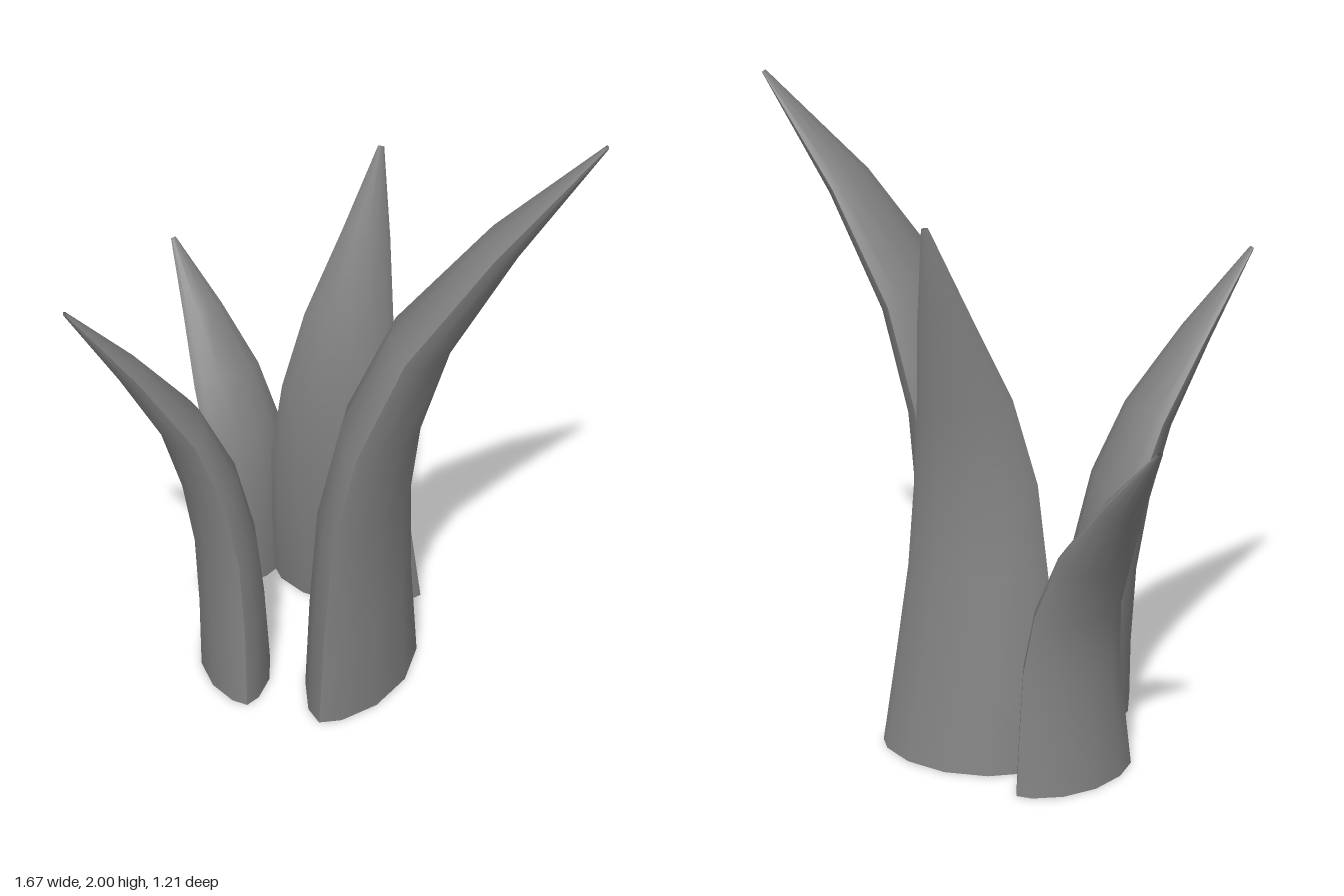
import * as THREE from 'three';

const ARC_STEPS = 6;      // segments along each bowed face
const THICKNESS = 0.49;   // half thickness as a share of half width

// Each ring: x, y, z of the centre, half width. Angles: heading of the section at base and tip.
const BLADES = [
  { name: 'tallBlade', angles: [75, 64], rings: [
    [0.234, 0, -0.137, 0.324], [0.236, 0.35, -0.12, 0.292], [0.252, 0.7, -0.108, 0.266],
    [0.3, 1.01, -0.125, 0.24], [0.4, 1.33, -0.18, 0.197], [0.595, 1.665, -0.28, 0.12], [0.828, 1.995, -0.418, 0.012]] },
  { name: 'frontBlade', angles: [38, 25], rings: [
    [-0.1, 0, 0.122, 0.237], [-0.118, 0.26, 0.117, 0.222], [-0.138, 0.51, 0.125, 0.205],
    [-0.165, 0.745, 0.166, 0.184], [-0.2, 0.97, 0.25, 0.144], [-0.25, 1.21, 0.408, 0.086], [-0.31, 1.463, 0.596, 0.012]] },
  { name: 'shortBlade', angles: [97, 100], rings: [
    [-0.437, 0, -0.3, 0.216], [-0.428, 0.2, -0.3, 0.195], [-0.426, 0.385, -0.3, 0.178],
    [-0.453, 0.56, -0.303, 0.158], [-0.53, 0.745, -0.308, 0.137], [-0.665, 0.94, -0.337, 0.08], [-0.83, 1.146, -0.37, 0.01]] },
  { name: 'backBlade', angles: [-25, -48], rings: [
    [-0.097, 0, -0.454, 0.265], [-0.095, 0.29, -0.408, 0.244], [-0.088, 0.58, -0.37, 0.22],
    [-0.068, 0.85, -0.358, 0.19], [-0.062, 1.11, -0.392, 0.145], [-0.064, 1.39, -0.47, 0.078], [-0.072, 1.668, -0.543, 0.01]] },
];

// A hollow curved blade: two bowed faces meeting at sharp side edges, open at the base
function makeBlade({ name, angles, rings }, material) {
  const positions = [], index = [];
  const centres = rings.map(([x, y, z]) => new THREE.Vector3(x, y, z));
  const row = ARC_STEPS + 1, last = rings.length - 1;

  // Section frame at ring i: chord across the blade, normal through its thickness
  const frame = (i) => {
    const tangent = i === 0 ? new THREE.Vector3(0, 1, 0)
      : centres[Math.min(i + 1, last)].clone().sub(centres[i - 1]).normalize();
    const a = THREE.MathUtils.degToRad(THREE.MathUtils.lerp(angles[0], angles[1], i / last));
    const chord = new THREE.Vector3(Math.cos(a), 0, Math.sin(a));
    chord.addScaledVector(tangent, -chord.dot(tangent)).normalize();
    return { chord, normal: tangent.clone().cross(chord) };
  };

  for (const side of [1, -1]) {
    const start = positions.length / 3;
    for (let i = 0; i <= last; i++) {
      const { chord, normal } = frame(i);
      const w = rings[i][3];
      for (let j = 0; j <= ARC_STEPS; j++) {
        const t = Math.PI * j / ARC_STEPS;
        const bow = Math.pow(Math.max(0, Math.sin(t)), 1.4);
        const p = centres[i].clone()
          .addScaledVector(chord, -w * Math.cos(t))
          .addScaledVector(normal, side * w * THICKNESS * bow);
        positions.push(p.x, p.y, p.z);
      }
    }
    for (let i = 0; i < last; i++) {
      for (let j = 0; j < ARC_STEPS; j++) {
        const a = start + i * row + j, b = a + 1, c = a + row, d = c + 1;
        if (side > 0) index.push(a, c, b, b, c, d);
        else index.push(a, b, c, b, d, c);
      }
    }
  }

  const geometry = new THREE.BufferGeometry();
  geometry.setAttribute('position', new THREE.Float32BufferAttribute(positions, 3));
  geometry.setIndex(index);
  geometry.computeVertexNormals();
  const mesh = new THREE.Mesh(geometry, material);
  mesh.name = name;
  return mesh;
}

export function createModel() {
  const group = new THREE.Group();
  group.name = 'bladeCluster';
  const material = new THREE.MeshStandardMaterial({ color: 0x808080, side: THREE.DoubleSide });
  for (const blade of BLADES) group.add(makeBlade(blade, material));
  return group;
}
